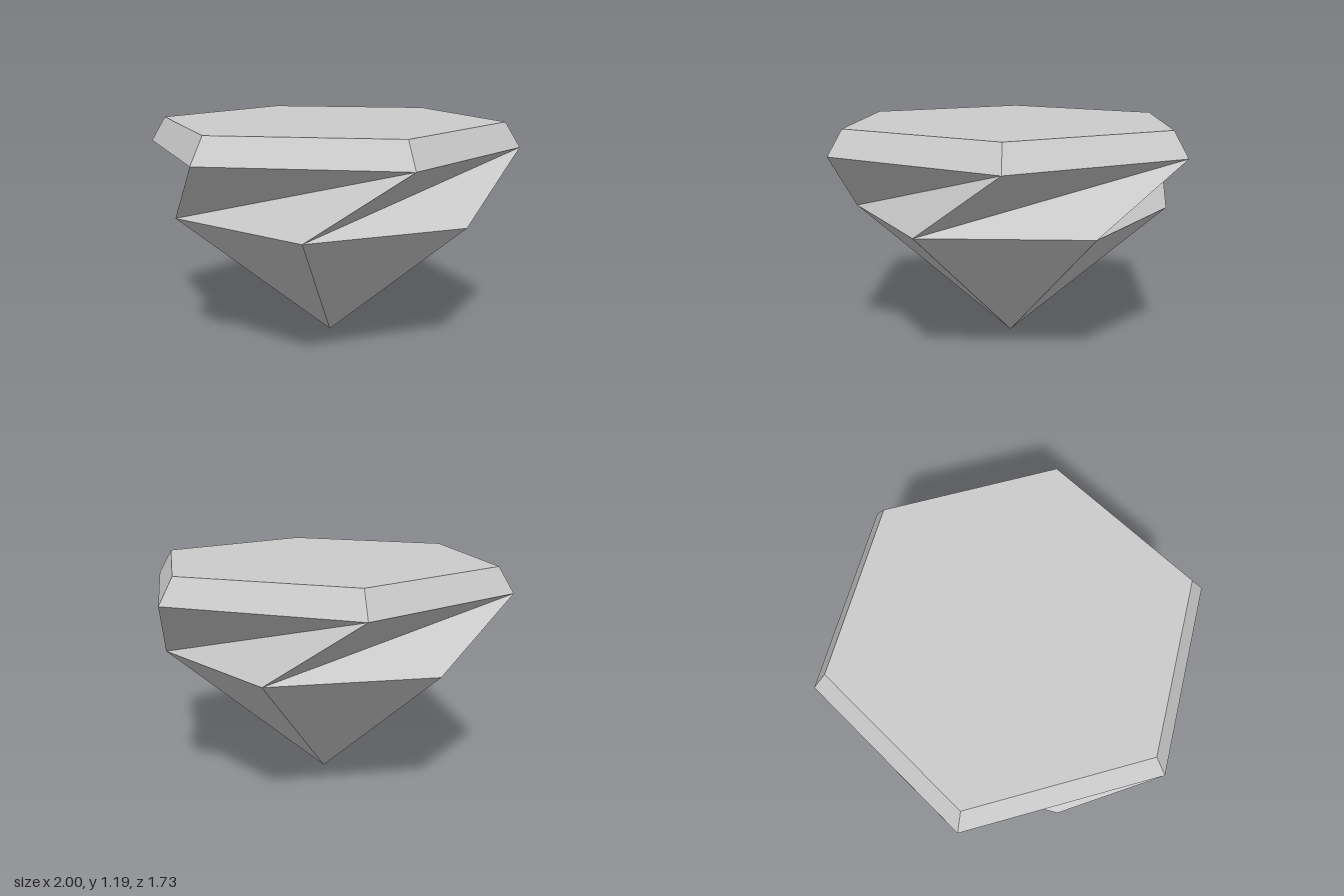
import * as THREE from 'three';

const SIDES = 6;

// Ring of six points; turn is the angular offset in sides
function ring(radius, y, turn) {
  return Array.from({ length: SIDES }, (_, i) => {
    const a = ((i + turn) / SIDES) * Math.PI * 2;
    return new THREE.Vector3(Math.cos(a) * radius, y, Math.sin(a) * radius);
  });
}

// Mesh of flat facets: trianglesAt(i, next) lists the corners for each side
function facets(name, material, trianglesAt) {
  const points = [];
  for (let i = 0; i < SIDES; i++) points.push(...trianglesAt(i, (i + 1) % SIDES));
  const geometry = new THREE.BufferGeometry().setFromPoints(points);
  geometry.computeVertexNormals();
  const mesh = new THREE.Mesh(geometry, material);
  mesh.name = name;
  return mesh;
}

export function createModel() {
  const stone = new THREE.MeshStandardMaterial({ color: 0xcccccc });
  stone.name = 'pale grey stone';

  const table = ring(0.92, 1.187, 0);
  const girdle = ring(1, 1.056, 0);
  const waist = ring(0.848, 0.714, 0.5);
  const centre = new THREE.Vector3(0, 1.187, 0);
  const tip = new THREE.Vector3(0, 0, 0);

  const gem = new THREE.Group();
  gem.name = 'gem';
  gem.add(
    // Flat hexagonal top
    facets('table', stone, (i, n) => [centre, table[n], table[i]]),
    // Bevel around the top
    facets('crown', stone, (i, n) => [
      girdle[i], table[i], table[n],
      girdle[i], table[n], girdle[n],
    ]),
    // Twisted band: each upper edge leans to the waist corner one step on
    facets('twistedBelt', stone, (i, n) => [
      waist[n], girdle[i], girdle[n],
      waist[n], waist[i], girdle[i],
    ]),
    // Point below the waist
    facets('pavilion', stone, (i, n) => [tip, waist[i], waist[n]]),
  );
  return gem;
}
